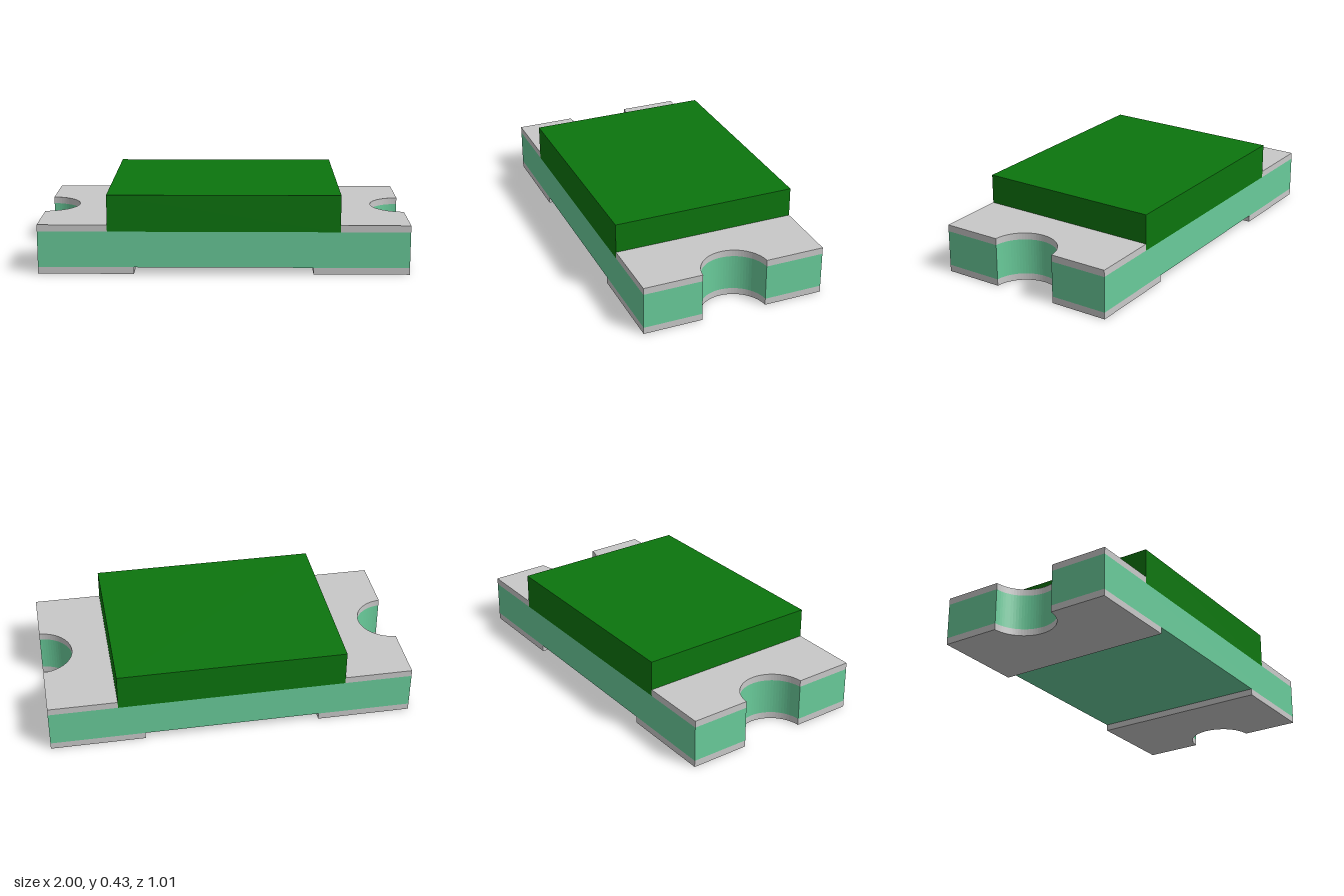
import * as THREE from 'three';

const HALF_X = 1, HALF_Z = 0.505;
const NOTCH_R = 0.18, NOTCH_X = 1.008;

// Rectangle from x0 to x1; any end lying on the board's edge gets a round notch
function outline(x0, x1) {
  const a = Math.acos((NOTCH_X - HALF_X) / NOTCH_R);
  const s = new THREE.Shape();
  s.moveTo(x0, -HALF_Z);
  s.lineTo(x1, -HALF_Z);
  if (x1 === HALF_X) s.absarc(NOTCH_X, 0, NOTCH_R, Math.PI + a, Math.PI - a, true);
  s.lineTo(x1, HALF_Z);
  s.lineTo(x0, HALF_Z);
  if (x0 === -HALF_X) s.absarc(-NOTCH_X, 0, NOTCH_R, a, -a, true);
  s.closePath();
  return s;
}

// Upright slab between heights y0 and y1
function slab(name, x0, x1, y0, y1, material) {
  const geo = new THREE.ExtrudeGeometry(outline(x0, x1), {
    depth: y1 - y0, bevelEnabled: false, curveSegments: 18,
  });
  geo.rotateX(-Math.PI / 2);
  geo.translate(0, y0, 0);
  const mesh = new THREE.Mesh(geo, material);
  mesh.name = name;
  return mesh;
}

export function createModel() {
  const mat = (name, color) => {
    const m = new THREE.MeshStandardMaterial({ color });
    m.name = name;
    return m;
  };
  const silver = mat('silver', 0xc8c8c8);
  const mint = mat('mint green', 0x69cb9a);
  const green = mat('deep green', 0x0c750e);

  const group = new THREE.Group();
  group.name = 'surfaceMountChip';

  // Board with a notch in each end
  group.add(slab('board', -HALF_X, HALF_X, 0.037, 0.234, mint));

  // Metal pads, above and below, at both ends
  group.add(slab('topPadLeft', 0.625, HALF_X, 0.234, 0.271, silver));
  group.add(slab('topPadRight', -HALF_X, -0.625, 0.234, 0.271, silver));
  group.add(slab('bottomPadLeft', 0.483, HALF_X, 0, 0.037, silver));
  group.add(slab('bottomPadRight', -HALF_X, -0.483, 0, 0.037, silver));

  // Lens block between the top pads
  group.add(slab('lens', -0.625, 0.625, 0.234, 0.434, green));

  return group;
}
